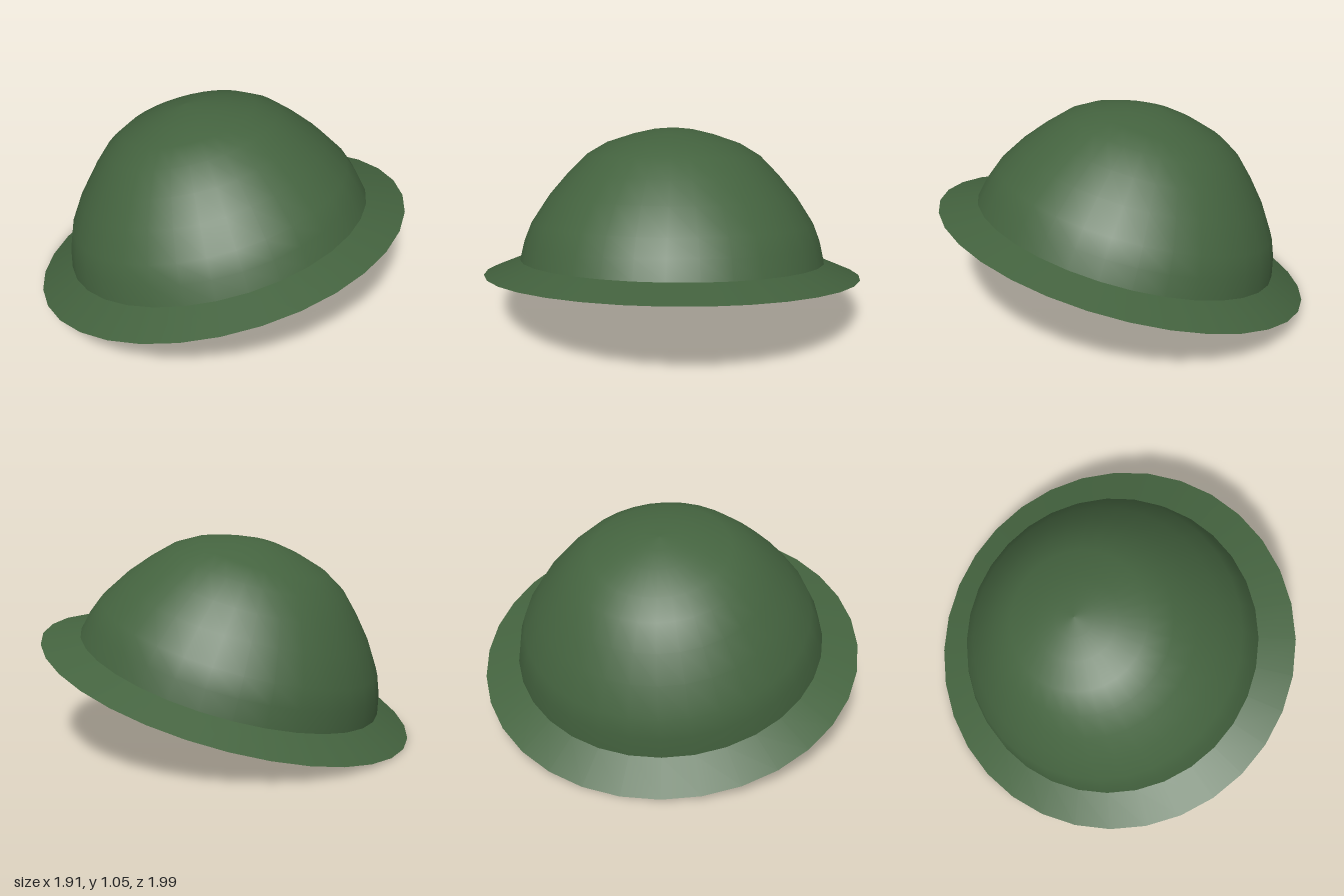
import * as THREE from 'three';

export function createModel() {
  const green = new THREE.MeshStandardMaterial({ color: 0x44633f, side: THREE.DoubleSide });
  green.name = 'olive green';

  // Thin surface of revolution from [radius, height] pairs, listed upward
  const shell = (name, profile) => {
    const points = profile.map(([r, y]) => new THREE.Vector2(r, y));
    const mesh = new THREE.Mesh(new THREE.LatheGeometry(points, 32), green);
    mesh.name = name;
    return mesh;
  };

  const helmet = new THREE.Group();
  helmet.name = 'helmet';

  // Sloping brim and open, hollow crown sharing one edge
  helmet.add(
    shell('brim', [[0.997, 0], [0.809, 0.076]]),
    shell('crown', [
      [0.809, 0.076], [0.785, 0.18], [0.748, 0.275], [0.658, 0.414], [0.56, 0.53],
      [0.46, 0.631], [0.352, 0.695], [0.21, 0.742], [0.1, 0.767], [0, 0.775],
    ]),
  );

  // Whole helmet leans so its lowest brim point rests on the ground
  helmet.rotation.z = THREE.MathUtils.degToRad(16.4);
  helmet.position.y = 0.997 * Math.sin(helmet.rotation.z);

  const model = new THREE.Group();
  model.name = 'tilted helmet';
  model.add(helmet);
  return model;
}
